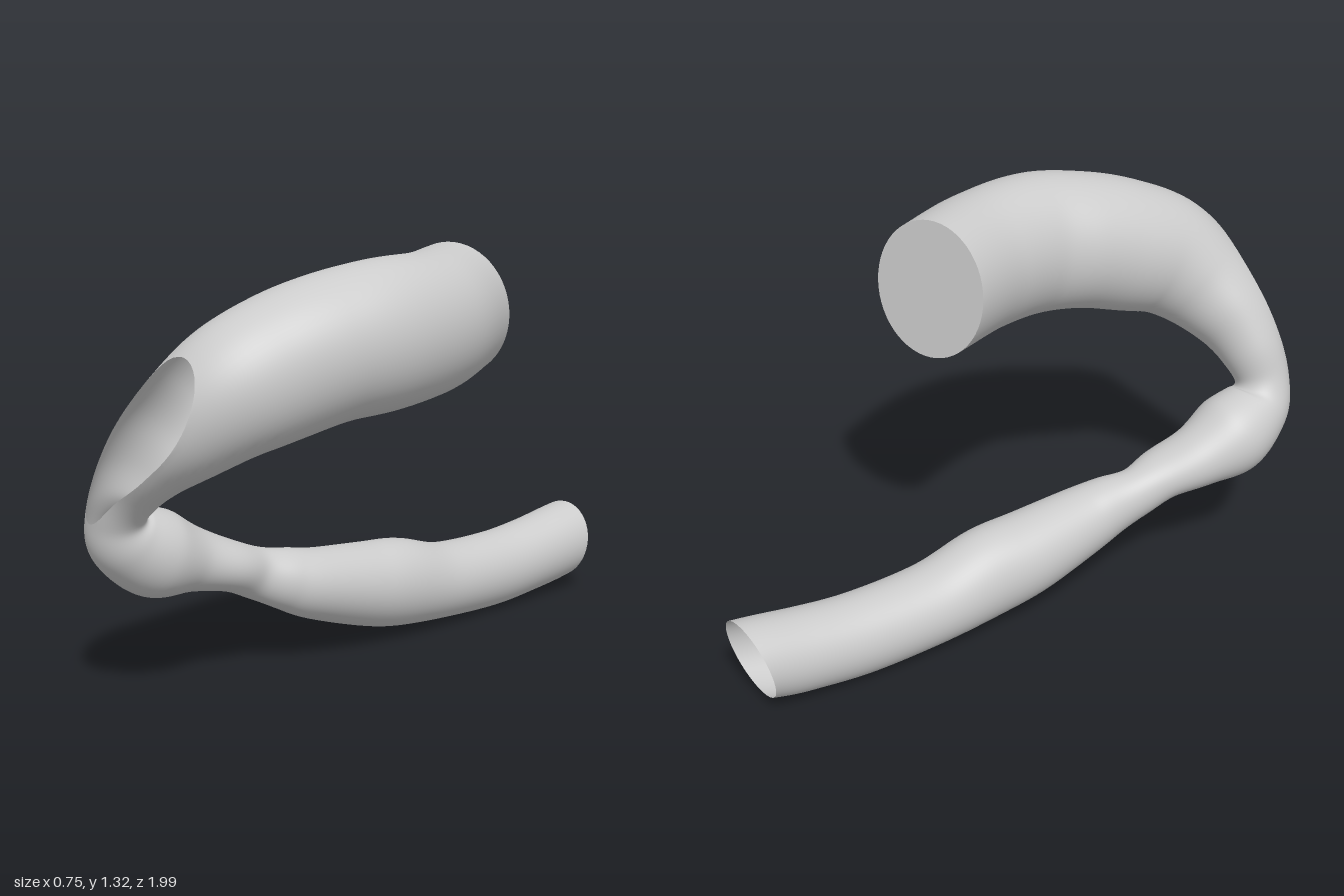
import * as THREE from 'three';
import { mergeVertices } from 'three/addons/utils/BufferGeometryUtils.js';

// Stations along the vessel: centre x, y, z, then side radius and upright radius
const STATIONS = [
  [0.01, 1.115, -0.23, 0.19, 0.215],
  [0.125, 1.105, 0.0, 0.2, 0.22],
  [0.172, 1.1, 0.22, 0.2, 0.227],
  [0.15, 1.08, 0.4, 0.205, 0.22],
  [0.12, 1.04, 0.55, 0.2, 0.215],
  [0.085, 0.985, 0.69, 0.19, 0.2],
  [0.015, 0.9, 0.79, 0.17, 0.17],
  [-0.085, 0.8, 0.855, 0.14, 0.135],
  [-0.165, 0.7, 0.885, 0.11, 0.105],
  [-0.215, 0.6, 0.9, 0.088, 0.09],
  [-0.235, 0.52, 0.865, 0.11, 0.112],
  [-0.247, 0.45, 0.75, 0.135, 0.135],
  [-0.243, 0.405, 0.62, 0.11, 0.1],
  [-0.218, 0.365, 0.5, 0.095, 0.08],
  [-0.212, 0.322, 0.4, 0.078, 0.083],
  [-0.19, 0.288, 0.3, 0.095, 0.1],
  [-0.178, 0.255, 0.2, 0.112, 0.115],
  [-0.178, 0.21, 0.0, 0.132, 0.138],
  [-0.175, 0.185, -0.15, 0.135, 0.147],
  [-0.181, 0.147, -0.35, 0.13, 0.13],
  [-0.186, 0.135, -0.6, 0.125, 0.13],
  [-0.186, 0.15, -0.8, 0.124, 0.13],
  [-0.185, 0.175, -0.97, 0.125, 0.137],
];
const START_DIR = new THREE.Vector3(0.47, -0.1, 1).normalize();
const END_DIR = new THREE.Vector3(-0.12, -0.22, -1).normalize();
const STEPS = 176, SIDES = 56;

// Signed distance in front of the slanted opening
const frontOf = (p) => p.z - (1.0 - (p.y - 0.55) * 0.262);

function makeRings() {
  const path = new THREE.CatmullRomCurve3(STATIONS.map((s) => new THREE.Vector3(s[0], s[1], s[2])), false, 'catmullrom');
  const size = new THREE.CatmullRomCurve3(STATIONS.map((s) => new THREE.Vector3(s[3], s[4], 0)), false, 'catmullrom');
  const rings = [];
  for (let i = 0; i <= STEPS; i++) {
    const t = i / STEPS;
    const c = path.getPoint(t), r = size.getPoint(t);
    const dir = path.getPoint(Math.min(1, t + 0.012)).sub(path.getPoint(Math.max(0, t - 0.012))).normalize();
    // Ease into the slanted end cuts
    dir.lerp(START_DIR, Math.max(0, 1 - t * 20)).lerp(END_DIR, Math.max(0, 1 - (1 - t) * 20)).normalize();
    const side = new THREE.Vector3(1, 0, 0).addScaledVector(dir, -dir.x).normalize();
    const up = new THREE.Vector3().crossVectors(dir, side);
    const ring = [];
    for (let j = 0; j < SIDES; j++) {
      const a = (j / SIDES) * Math.PI * 2;
      ring.push(c.clone().addScaledVector(side, Math.cos(a) * r.x).addScaledVector(up, Math.sin(a) * r.y));
    }
    rings.push(ring);
  }
  return rings;
}

// Trim one triangle against the opening plane and append what remains
function addTrimmed(out, tri) {
  const kept = [];
  tri.forEach((p, i) => {
    const q = tri[(i + 1) % 3], dp = frontOf(p), dq = frontOf(q);
    if (dp <= 0) kept.push(p);
    if (dp * dq < 0) kept.push(p.clone().lerp(q, dp / (dp - dq)));
  });
  for (let i = 1; i + 1 < kept.length; i++) {
    for (const p of [kept[0], kept[i], kept[i + 1]]) out.push(p.x, p.y, p.z);
  }
}

function toGeometry(positions) {
  const g = new THREE.BufferGeometry();
  g.setAttribute('position', new THREE.Float32BufferAttribute(positions, 3));
  const merged = mergeVertices(g, 1e-5);
  merged.computeVertexNormals();
  return merged;
}

export function createModel() {
  const group = new THREE.Group();
  group.name = 'vessel';
  const material = new THREE.MeshStandardMaterial({ color: 0xcccccc, side: THREE.DoubleSide });
  const rings = makeRings();

  // Tube wall, open at the bend and at the narrow end
  const wall = [];
  for (let i = 0; i < STEPS; i++) {
    for (let j = 0; j < SIDES; j++) {
      const k = (j + 1) % SIDES;
      const a = rings[i][j], b = rings[i][k], c = rings[i + 1][j], d = rings[i + 1][k];
      addTrimmed(wall, [a, b, c]);
      addTrimmed(wall, [b, d, c]);
    }
  }
  const wallMesh = new THREE.Mesh(toGeometry(wall), material);
  wallMesh.name = 'vesselWall';
  group.add(wallMesh);

  // Flat cap closing the wide end
  const [x, y, z] = STATIONS[0];
  const cap = [];
  rings[0].forEach((p, j) => {
    const q = rings[0][(j + 1) % SIDES];
    cap.push(x, y, z, q.x, q.y, q.z, p.x, p.y, p.z);
  });
  const capMesh = new THREE.Mesh(toGeometry(cap), material);
  capMesh.name = 'wideEndCap';
  group.add(capMesh);

  return group;
}
